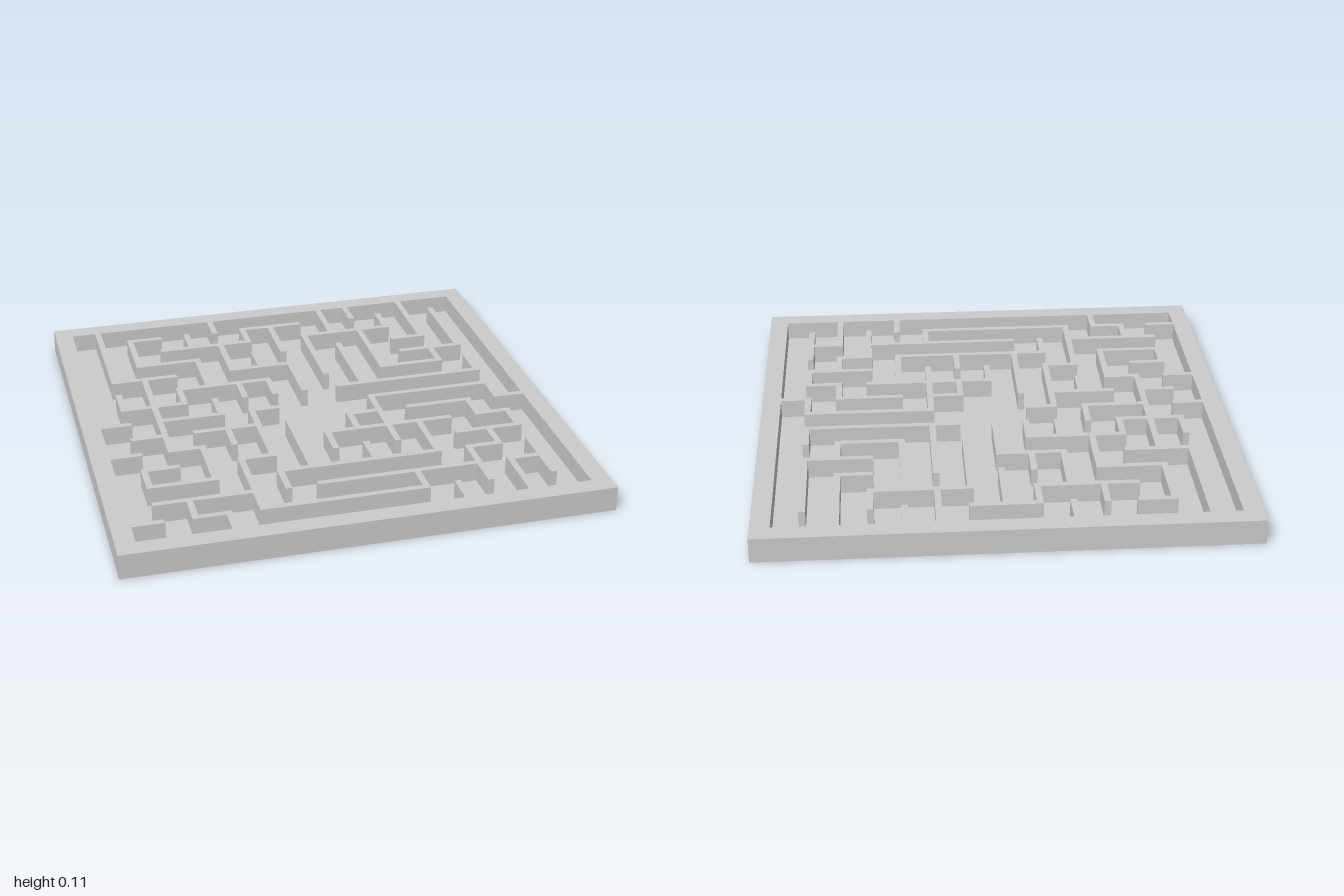
import * as THREE from 'three';

const PITCH = 0.1336;   // maze cell size
const HALF = 0.0134;    // half wall thickness
const INNER = 0.92;     // inner face of the border
const HEIGHT = 0.105;
const FLOOR = 0.026;

// Walls running along x: grid row -> [start, end] columns
const ROWS = {
  '-6': [[-5, -4], [-1, 1]],
  '-5': [[-4, -1], [1, 4]],
  '-4': [[-5, -3], [4, 5]],
  '-3': [[-6, -4], [-2, 0], [4, 6]],
  '-2': [[-4, -1], [3, 5]],
  '-1': [[-6, -4], [1.2, 6]],
  '0': [[-7, -6], [-5, -3], [-2, -1.2], [2, 6]],
  '1': [[-6, -5], [-4, -2], [1, 2], [3, 5], [6, 7]],
  '2': [[-7, -6], [-5, -4], [0, 4], [5, 6]],
  '3': [[-6, -5], [-3, -2], [4, 6]],
  '4': [[-6, -4], [-2, 3], [4, 5]],
  '5': [[-6, -3], [-1, 4], [5, 6]],
  '6': [[-7, -6], [-5, -4], [-3, 2]],
};

// Walls running along z: grid column -> [start, end] rows
const COLUMNS = {
  '-6': [[-7, -3], [-2, -1], [3, 4]],
  '-5': [[-6, -4], [-3, 2], [5, 6]],
  '-4': [[-2, -1], [2, 4], [6, 7]],
  '-3': [[-6, -5], [-4, -2], [-1, 0], [1, 2], [3, 6]],
  '-2': [[-7, -6], [-5, -3], [-2, -1], [0, 3], [4, 5]],
  '-1': [[-6, -5], [-4, -3], [-2, -1], [1, 4]],
  '0': [[-6, -4], [-3, -1], [2, 3]],
  '1': [[-5, -2], [1, 2], [3, 4]],
  '2': [[-7, -5], [-4, -1], [0, 3], [5, 6]],
  '3': [[-7, -6], [-5, -2], [2, 4], [6, 7]],
  '4': [[-6, -5], [4, 6]],
  '5': [[-7, -4], [-3, -2], [1, 2], [3, 4], [5, 7]],
  '6': [[-6, -3], [-2, -1], [0, 1], [2, 3], [4, 6]],
};

function square(PathType, r) {
  return new PathType([[-r, -r], [r, -r], [r, r], [-r, r]].map(([x, y]) => new THREE.Vector2(x, y)));
}

export function createModel() {
  const model = new THREE.Group();
  model.name = 'mazeBoard';
  const material = new THREE.MeshStandardMaterial({ color: 0xcccccc });

  const add = (parent, name, geometry) => {
    const mesh = new THREE.Mesh(geometry, material);
    mesh.name = name;
    parent.add(mesh);
    return mesh;
  };

  // Square border around the board
  const outline = square(THREE.Shape, 1);
  outline.holes.push(square(THREE.Path, INNER));
  const border = new THREE.ExtrudeGeometry(outline, { depth: HEIGHT, bevelEnabled: false });
  border.rotateX(-Math.PI / 2);
  add(model, 'border', border);

  // Recessed floor
  add(model, 'floor', new THREE.BoxGeometry(2 * INNER, FLOOR, 2 * INNER)).position.y = FLOOR / 2;

  // Maze walls, trimmed where they meet the border
  const addWalls = (name, table, alongX) => {
    const group = new THREE.Group();
    group.name = name;
    model.add(group);
    for (const [line, spans] of Object.entries(table)) {
      for (const [a, b] of spans) {
        const start = Math.max(a * PITCH - HALF, -INNER);
        const end = Math.min(b * PITCH + HALF, INNER);
        const box = new THREE.BoxGeometry(end - start, HEIGHT - FLOOR, 2 * HALF);
        if (!alongX) box.rotateY(Math.PI / 2);
        const mid = (start + end) / 2;
        const across = Number(line) * PITCH;
        const y = (HEIGHT + FLOOR) / 2;
        add(group, 'wall', box).position.set(alongX ? mid : across, y, alongX ? across : mid);
      }
    }
  };
  addWalls('crossWalls', ROWS, true);
  addWalls('lengthWalls', COLUMNS, false);

  return model;
}
